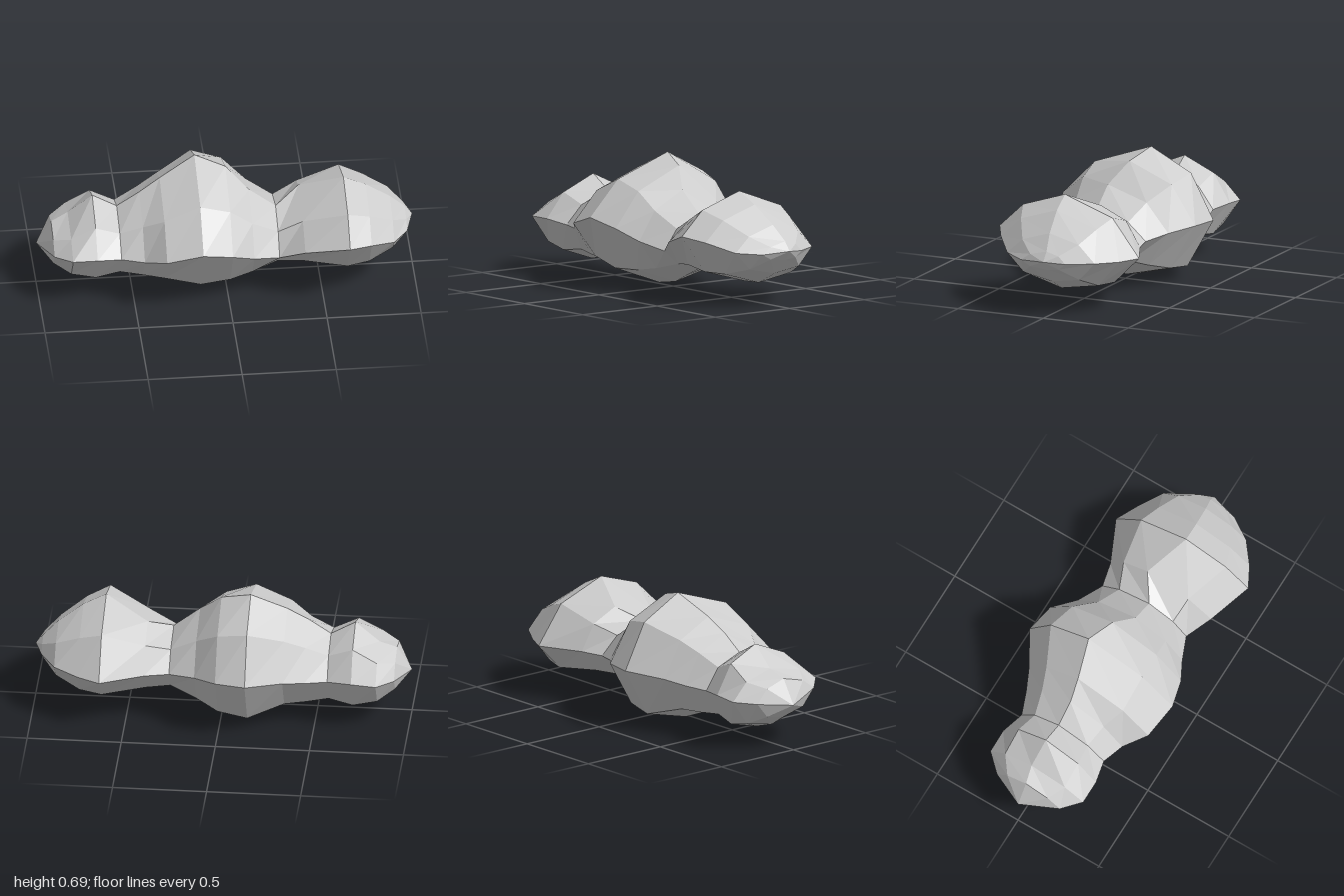
import * as THREE from 'three';

// Cross-sections along x: [x, top y, top z, front y, front z, bottom y, back y, back z]
const SECTIONS = [
  [-0.92, 0.38, 0.00, 0.29, 0.21, 0.17, 0.27, -0.18],
  [-0.83, 0.42, -0.02, 0.31, 0.30, 0.11, 0.28, -0.275],
  [-0.70, 0.525, -0.01, 0.31, 0.30, 0.07, 0.29, -0.275],
  [-0.57, 0.45, -0.01, 0.29, 0.27, 0.10, 0.28, -0.24],
  [-0.45, 0.53, -0.01, 0.29, 0.31, 0.085, 0.29, -0.285],
  [-0.34, 0.60, -0.03, 0.34, 0.405, 0.08, 0.31, -0.335],
  [-0.15, 0.70, -0.08, 0.395, 0.44, 0.005, 0.335, -0.445],
  [0.01, 0.65, -0.03, 0.35, 0.395, 0.03, 0.335, -0.415],
  [0.13, 0.54, 0.04, 0.29, 0.33, 0.08, 0.31, -0.315],
  [0.27, 0.43, 0.04, 0.25, 0.27, 0.145, 0.29, -0.25],
  [0.40, 0.495, -0.05, 0.32, 0.345, 0.14, 0.29, -0.28],
  [0.63, 0.595, 0.05, 0.385, 0.435, 0.11, 0.29, -0.385],
  [0.75, 0.535, 0.04, 0.36, 0.37, 0.115, 0.29, -0.325],
  [0.88, 0.44, 0.02, 0.31, 0.27, 0.18, 0.30, -0.245],
  [0.96, 0.36, 0.00, 0.30, 0.15, 0.26, 0.30, -0.11],
];
const SIDES = 8;

// Eight-sided ring: top, front, bottom and back, with a bulged corner between each pair
function ring([x, topY, topZ, frontY, frontZ, bottomY, backY, backZ]) {
  const bottomZ = topZ * 0.3;
  const corner = (sideY, sideZ, endY, endZ, rise) => new THREE.Vector3(
    x, THREE.MathUtils.lerp(sideY, endY, rise), THREE.MathUtils.lerp(endZ, sideZ, 0.64));
  return [
    new THREE.Vector3(x, topY, topZ),
    corner(frontY, frontZ, topY, topZ, 0.62),
    new THREE.Vector3(x, frontY, frontZ),
    corner(frontY, frontZ, bottomY, bottomZ, 0.73),
    new THREE.Vector3(x, bottomY, bottomZ),
    corner(backY, backZ, bottomY, bottomZ, 0.8),
    new THREE.Vector3(x, backY, backZ),
    corner(backY, backZ, topY, topZ, 0.67),
  ];
}

// Skin the rings and close both ends in a point
function rockGeometry() {
  const rings = SECTIONS.map(ring);
  const points = rings.flat();
  const leftTip = points.push(new THREE.Vector3(1, 0.31, 0)) - 1;
  const rightTip = points.push(new THREE.Vector3(-1, 0.25, 0)) - 1;
  const last = (rings.length - 1) * SIDES;
  const index = [];
  for (let j = 0; j < SIDES; j++) {
    const k = (j + 1) % SIDES;
    index.push(rightTip, k, j, leftTip, last + j, last + k);
    for (let r = 0; r < last; r += SIDES) {
      const a = r + j, b = r + k, c = a + SIDES, d = b + SIDES;
      index.push(a, b, c, b, d, c);
    }
  }
  const geometry = new THREE.BufferGeometry().setFromPoints(points);
  geometry.setIndex(index);
  const faceted = geometry.toNonIndexed();
  faceted.computeVertexNormals();
  return faceted;
}

export function createModel() {
  const group = new THREE.Group();
  group.name = 'lobedRock';
  const rock = new THREE.Mesh(
    rockGeometry(),
    new THREE.MeshStandardMaterial({ color: 0xcccccc, flatShading: true }));
  rock.name = 'rockBody';
  group.add(rock);

  // Rest on the ground
  rock.position.y = -new THREE.Box3().setFromObject(rock).min.y;
  return group;
}
